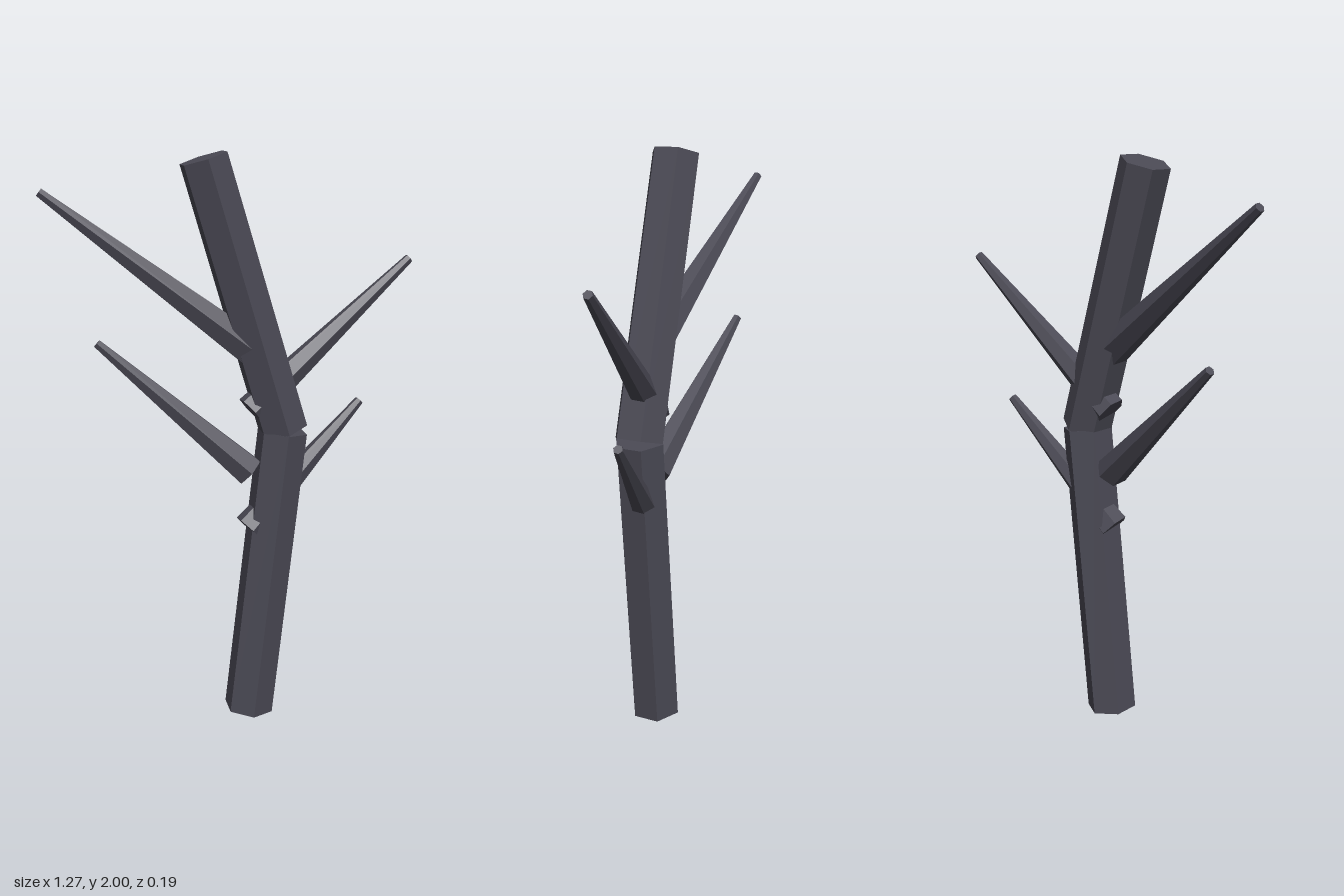
import * as THREE from 'three';

const bark = new THREE.MeshStandardMaterial({ color: 0x4a4954, flatShading: true });
bark.name = 'dark bark';

// Six-sided tapered limb running from one point to another
function limb(name, from, to, r0, r1) {
  const a = new THREE.Vector3(...from);
  const b = new THREE.Vector3(...to);
  const dir = b.clone().sub(a);
  const mesh = new THREE.Mesh(new THREE.CylinderGeometry(r1, r0, dir.length(), 6), bark);
  mesh.name = name;
  mesh.position.copy(a).add(b).multiplyScalar(0.5);
  mesh.quaternion.setFromUnitVectors(new THREE.Vector3(0, 1, 0), dir.normalize());
  return mesh;
}

export function createModel() {
  const tree = new THREE.Group();
  tree.name = 'bareTree';

  // Trunk: two sections meeting at a kink
  tree.add(limb('lowerTrunk', [0.038, 0.01, 0.003], [0.155, 1.065, 0.003], 0.09, 0.088));
  tree.add(limb('upperTrunk', [0.158, 1.068, 0.003], [-0.115, 1.98, 0.003], 0.088, 0.084));

  // Branches: pointed limbs that pass through the trunk and lean backward
  const branches = [
    ['upperLeftBranch', [0.043, 1.142, 0.005], [0.622, 1.632, -0.081], 0.057],
    ['upperRightBranch', [0.05, 1.35, 0.01], [-0.632, 1.876, -0.081], 0.063],
    ['lowerRightBranch', [0.038, 0.925, 0.005], [-0.465, 1.38, -0.081], 0.058],
    ['lowerLeftBranch', [0.035, 0.717, 0.012], [0.458, 1.134, -0.081], 0.057],
  ];
  for (const [name, from, to, r] of branches) tree.add(limb(name, from, to, r, 0.016));

  return tree;
}
